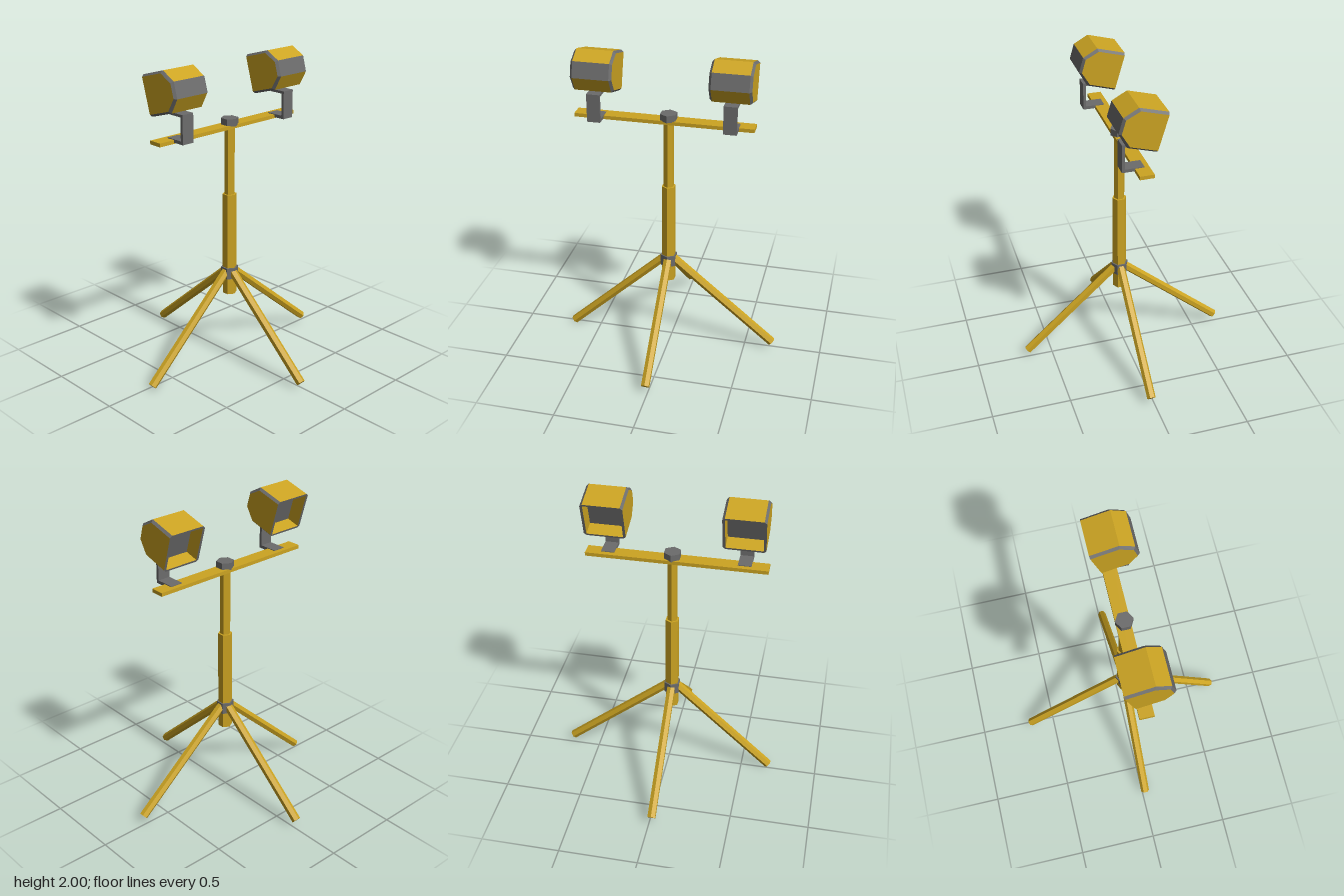
import * as THREE from 'three';

const gold = new THREE.MeshStandardMaterial({ color: 0xcca422, flatShading: true, side: THREE.DoubleSide });
const grey = new THREE.MeshStandardMaterial({ color: 0x6c6c6c, flatShading: true, side: THREE.DoubleSide });

const CX = 0.02, CZ = 0.016; // pole axis

function add(parent, name, geometry, material) {
  const mesh = new THREE.Mesh(geometry, material);
  mesh.name = name;
  parent.add(mesh);
  return mesh;
}

// Six-sided rod with corners on the x axis
function hexRod(radius, length) {
  return new THREE.CylinderGeometry(radius, radius, length, 6).rotateY(Math.PI / 2);
}

function upright(parent, name, radius, y0, y1, material) {
  add(parent, name, hexRod(radius, y1 - y0), material).position.set(CX, (y0 + y1) / 2, CZ);
}

function box(parent, name, [x0, x1], [y0, y1], [z0, z1], material) {
  add(parent, name, new THREE.BoxGeometry(x1 - x0, y1 - y0, z1 - z0), material)
    .position.set((x0 + x1) / 2, (y0 + y1) / 2, (z0 + z1) / 2);
}

// Flat polygons (each a fan of corners) joined into one geometry
function faces(polygons) {
  const pos = [];
  for (const p of polygons)
    for (let i = 1; i < p.length - 1; i++) pos.push(...p[0], ...p[i], ...p[i + 1]);
  const g = new THREE.BufferGeometry();
  g.setAttribute('position', new THREE.Float32BufferAttribute(pos, 3));
  g.computeVertexNormals();
  return g;
}

// Lamp housing, opening toward -x, origin at the centre of its opening
function createLamp() {
  const lamp = new THREE.Group();
  lamp.name = 'lamp';
  const outer = [[0, 0.124], [0.18, 0.123], [0.253, 0.05], [0.253, -0.05], [0.18, -0.123], [0, -0.124]];
  const inner = outer.map(([x, y]) => [x * 0.945, y * 0.89]);
  const zs = 0.113, zc = 0.128;
  const at = ([x, y], z) => [x, y, z];
  const shell = [], back = [], trim = [];
  for (let i = 0; i < 5; i++) {
    const p = outer[i], q = outer[i + 1], a = inner[i], b = inner[i + 1];
    (i === 2 ? back : shell).push([at(p, -zs), at(p, zs), at(q, zs), at(q, -zs)]);
    trim.push([at(p, zs), at(a, zc), at(b, zc), at(q, zs)]);
    trim.push([at(a, -zc), at(p, -zs), at(q, -zs), at(b, -zc)]);
  }
  shell.push([...inner].reverse().map(p => at(p, zc)), inner.map(p => at(p, -zc)));
  add(lamp, 'housing', faces(shell), gold);
  add(lamp, 'backPanel', faces(back), grey);
  add(lamp, 'edgeTrim', faces(trim), grey);

  // Thin rim around the opening
  const h = 0.112, yi = 0.11;
  const rim = new THREE.Shape([
    [zs, 0.124], [-zs, 0.124], [-zc, yi], [-zc, -yi], [-zs, -0.124], [zs, -0.124], [zc, -yi], [zc, yi],
  ].map(([x, y]) => new THREE.Vector2(x, y)));
  rim.holes.push(new THREE.Path([[-h, -h], [-h, h], [h, h], [h, -h]].map(([x, y]) => new THREE.Vector2(x, y))));
  add(lamp, 'rim', new THREE.ShapeGeometry(rim).rotateY(-Math.PI / 2), grey);

  // Recess walls and the glass at their far end
  const depth = 0.09;
  const ring = [[-h, -h], [h, -h], [h, h], [-h, h]]; // [y, z]
  const walls = ring.map(([y, z], i) => {
    const [y2, z2] = ring[(i + 1) % 4];
    return [[0, y, z], [0, y2, z2], [depth, y2, z2], [depth, y, z]];
  });
  add(lamp, 'recess', faces(walls), gold);
  add(lamp, 'glass', faces([[...ring].reverse().map(([y, z]) => [depth, y, z])]), grey);
  return lamp;
}

export function createModel() {
  const model = new THREE.Group();
  model.name = 'workLightStand';

  // Telescopic pole, collar and top knob
  upright(model, 'lowerPole', 0.045, 0.455, 1.13, gold);
  upright(model, 'upperPole', 0.033, 1.13, 1.57, gold);
  upright(model, 'collar', 0.055, 0.563, 0.637, grey);
  upright(model, 'knob', 0.055, 1.575, 1.62, grey);

  // Four splayed legs, from the collar to the foot
  const legs = [
    [[0.045, 0.61, CZ], [0.66, 0.045, CZ]],
    [[-0.005, 0.61, CZ], [-0.66, 0.052, CZ]],
    [[CX, 0.615, 0.04], [CX, 0.02, 0.68]],
    [[CX, 0.615, -0.008], [CX, 0.053, -0.682]],
  ];
  for (const [top, foot] of legs) {
    const a = new THREE.Vector3(...top), b = new THREE.Vector3(...foot);
    const leg = add(model, 'leg', hexRod(0.028, a.distanceTo(b)), gold);
    leg.position.copy(a).lerp(b, 0.5);
    leg.quaternion.setFromUnitVectors(new THREE.Vector3(0, 1, 0), a.sub(b).normalize());
  }

  // Crossbar carrying both lamps
  box(model, 'crossbar', [-0.03, 0.058], [1.557, 1.58], [-0.516, 0.602], gold);

  // Lamps on C-shaped brackets
  for (const z of [-0.381, 0.455]) {
    const bracket = new THREE.Group();
    bracket.name = 'bracket';
    const width = [z - 0.041, z + 0.041];
    box(bracket, 'bracketFoot', [0.0, 0.135], [1.564, 1.584], width, grey);
    box(bracket, 'bracketUpright', [0.117, 0.135], [1.564, 1.742], width, grey);
    box(bracket, 'bracketTop', [0.02, 0.135], [1.726, 1.742], width, grey);
    model.add(bracket);

    const lamp = createLamp();
    lamp.position.set(-0.08, 1.831, z);
    lamp.rotation.z = 0.282;
    model.add(lamp);
  }
  return model;
}
